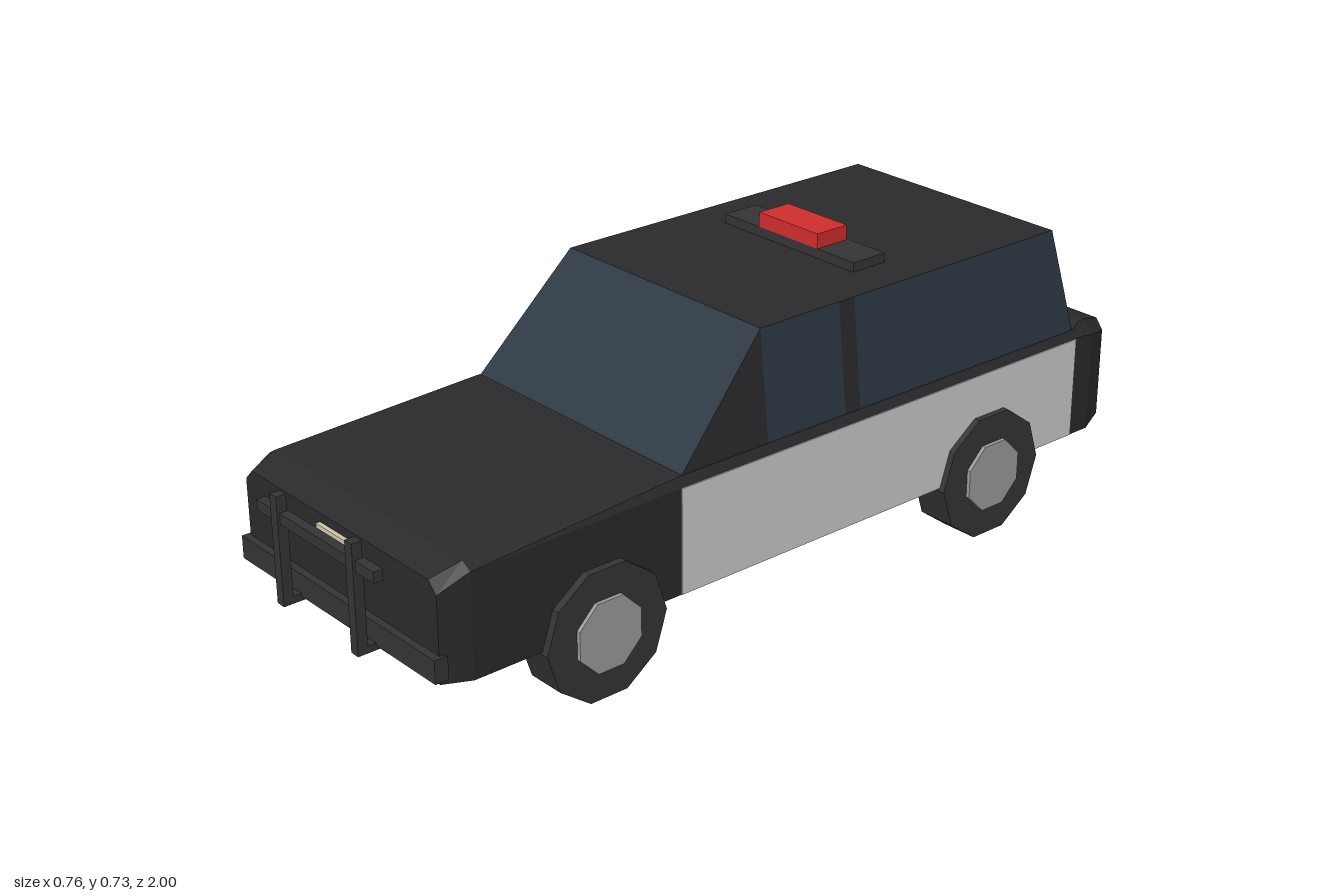
import * as THREE from 'three';

const paint = (color) => new THREE.MeshStandardMaterial({ color, flatShading: true });
const black = paint(0x2a2a2c), dark = paint(0x343437), white = paint(0xcccccc);
const hubGrey = paint(0x9c9c9c), glass = paint(0x2c3843), red = paint(0xcf2c2c), tan = paint(0xcdc5a8);

function add(parent, name, geometry, material) {
  const mesh = new THREE.Mesh(geometry, material);
  mesh.name = name;
  parent.add(mesh);
  return mesh;
}

// Box given by its limits on each axis
function box(parent, name, material, [x0, x1], [y0, y1], [z0, z1]) {
  const mesh = add(parent, name, new THREE.BoxGeometry(x1 - x0, y1 - y0, z1 - z0), material);
  mesh.position.set((x0 + x1) / 2, (y0 + y1) / 2, (z0 + z1) / 2);
  return mesh;
}

function facets(points) {
  const g = new THREE.BufferGeometry();
  g.setAttribute('position', new THREE.Float32BufferAttribute(points.flat(), 3));
  g.computeVertexNormals();
  return g;
}

// Single flat four-cornered face, corners anticlockwise from outside
const quad = (a, b, c, d) => facets([a, b, c, a, c, d]);

// Closed loft through rings listed from front to back
function loft(rings) {
  const out = [], n = rings[0].length, last = rings[rings.length - 1];
  for (let k = 0; k < rings.length - 1; k++) {
    for (let i = 0; i < n; i++) {
      const j = (i + 1) % n;
      const a = rings[k][i], b = rings[k][j], c = rings[k + 1][j], d = rings[k + 1][i];
      out.push(a, d, c, a, c, b);
    }
  }
  for (let i = 1; i < n - 1; i++) {
    out.push(rings[0][0], rings[0][i], rings[0][i + 1]);
    out.push(last[0], last[i + 1], last[i]);
  }
  return facets(out);
}

function addCabin(parent) {
  const cabin = new THREE.Group();
  cabin.name = 'cabin';
  parent.add(cabin);
  const lowW = 0.345, topW = 0.315, lowY = 0.41, topY = 0.672;
  const low = (s, z) => [s * lowW, lowY, z], top = (s, z) => [s * topW, topY, z];
  const lowZ = [0.34, 0.09, -0.135, -0.18, -0.87];
  const topZ = [0.09, 0.09, -0.135, -0.18, -0.81];
  const panes = [['frontPillar', black], ['frontSideWindow', glass], ['middlePillar', black], ['rearSideWindow', glass]];

  add(cabin, 'windscreen', quad(low(-1, 0.34), low(1, 0.34), top(1, 0.09), top(-1, 0.09)), glass);
  add(cabin, 'rearWindow', quad(low(1, -0.87), low(-1, -0.87), top(-1, -0.81), top(1, -0.81)), glass);
  add(cabin, 'roof', quad(top(-1, 0.09), top(1, 0.09), top(1, -0.81), top(-1, -0.81)), black);
  for (const s of [1, -1]) {
    panes.forEach(([name, material], i) => {
      const corners = [low(s, lowZ[i]), low(s, lowZ[i + 1]), top(s, topZ[i + 1]), top(s, topZ[i])];
      if (s < 0) corners.reverse();
      add(cabin, name, quad(...corners), material);
    });
  }
}

function addWheel(parent, side, z) {
  const wheel = new THREE.Group();
  wheel.name = 'wheel';
  wheel.position.set(side * 0.3265, 0.15, z);
  parent.add(wheel);
  // Decagonal tyre and octagonal hub, both standing on a flat
  const disc = (name, r, width, sides, material, x) => {
    const g = new THREE.CylinderGeometry(r, r, width, sides);
    g.rotateY(Math.PI / sides).rotateZ(Math.PI / 2);
    if (sides % 4) g.rotateX(Math.PI / 2 + Math.PI / sides);
    // Turn until the lowest edge is level
    const p = g.attributes.position;
    const angle = Math.atan2(p.getY(0), p.getZ(0));
    g.rotateX(angle + Math.PI / 2 + Math.PI / sides);
    add(wheel, name, g, material).position.x = x;
  };
  disc('tyre', 0.155, 0.093, 10, dark, 0);
  disc('hub', 0.0865, 0.03, 8, hubGrey, side * 0.0405);
}

export function createModel() {
  const car = new THREE.Group();
  car.name = 'patrolCar';

  // Lower body: z, half width, bottom, shoulder, top half width, top
  const sections = [
    [0.94, 0.34, 0.165, 0.36, 0.315, 0.385],
    [0.87, 0.355, 0.155, 0.393, 0.33, 0.408],
    [0.34, 0.355, 0.155, 0.4, 0.345, 0.422],
    [-0.87, 0.355, 0.155, 0.4, 0.345, 0.42],
    [-0.9, 0.355, 0.155, 0.4, 0.335, 0.43],
    [-0.93, 0.355, 0.155, 0.395, 0.33, 0.428],
    [-0.99, 0.335, 0.17, 0.385, 0.315, 0.41],
  ];
  add(car, 'body', loft(sections.map(([z, w, bottom, shoulder, tw, top]) => [
    [-w, bottom, z], [w, bottom, z], [w, shoulder, z],
    [tw, top, z], [-tw, top, z], [-w, shoulder, z],
  ])), black);
  addCabin(car);

  // Pale doors and wheels on both sides
  for (const s of [1, -1]) {
    const x = s > 0 ? [0.35, 0.358] : [-0.358, -0.35];
    box(car, 'doorPanel', white, x, [0.156, 0.4], [-0.87, 0.34]);
    addWheel(car, s, 0.55);
    addWheel(car, s, -0.58);
  }

  // Bumper and push bar
  box(car, 'frontBumper', dark, [-0.348, 0.348], [0.175, 0.228], [0.925, 0.957]);
  box(car, 'pushBarRail', dark, [-0.21, 0.21], [0.352, 0.377], [0.972, 0.994]);
  for (const x of [-0.135, 0.135]) {
    const span = [x - 0.012, x + 0.012];
    box(car, 'pushBarPost', dark, span, [0.165, 0.415], [0.976, 1]);
    box(car, 'pushBarFoot', dark, span, [0.165, 0.182], [0.925, 0.98]);
  }

  // Number plate, tail lamp and roof lights
  box(car, 'frontPlate', tan, [-0.06, 0.06], [0.328, 0.365], [0.935, 0.95]);
  box(car, 'tailLamp', red, [-0.05, 0.05], [0.358, 0.4], [-1, -0.98]);
  box(car, 'lightBarBase', dark, [-0.21, 0.21], [0.67, 0.694], [-0.375, -0.28]);
  box(car, 'lightBarLamp', red, [-0.095, 0.095], [0.694, 0.729], [-0.37, -0.28]);

  return car;
}
